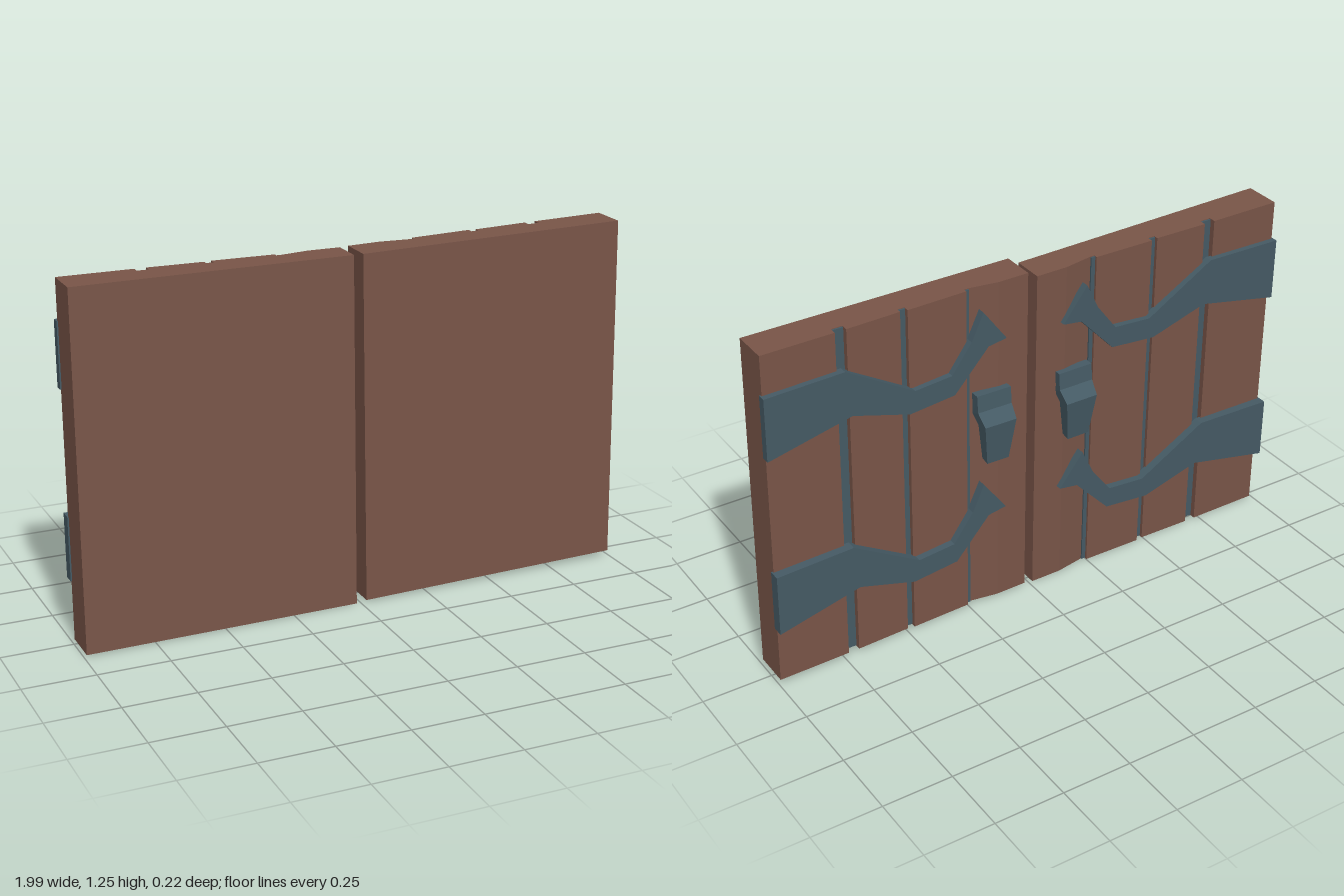
import * as THREE from 'three';

const H = 1.23;
const wood = new THREE.MeshStandardMaterial({ color: 0x795548, flatShading: true });
const iron = new THREE.MeshStandardMaterial({ color: 0x455a64, flatShading: true });

// Back of a door: [distance from the middle, recess], with three plank grooves
const BACK = [
  [0.015, 0], [0.13, 0], [0.235, 0.018], [0.25, 0.018], [0.25, 0.004],
  [0.47, 0], [0.47, 0.022], [0.495, 0.022], [0.495, 0.004],
  [0.69, 0], [0.69, 0.026], [0.73, 0.026], [0.73, 0], [0.99, 0],
];
const GROOVES = [[0.235, 0.25, 0.018], [0.47, 0.495, 0.022], [0.69, 0.73, 0.026]];

// Outline of a hinge strap with its flared inner end
const STRAP = [
  [0.995, 1.09], [0.71, 1.095], [0.46, 0.945], [0.32, 0.955], [0.245, 1.055], [0.2, 1.15],
  [0.11, 1.03], [0.18, 1.02], [0.31, 0.88], [0.48, 0.865], [0.69, 0.93], [0.995, 0.865],
];

// Side profile of a handle: [distance from the door, y]
const HANDLE = [
  [-0.01, 0.845], [0.022, 0.845], [0.028, 0.785], [0.066, 0.745], [0.048, 0.592],
  [0.018, 0.6], [0.02, 0.735], [-0.01, 0.765],
];

const outline = (pts) => new THREE.Shape(pts.map(([x, y]) => new THREE.Vector2(x, y)));
const extrude = (pts, depth) =>
  new THREE.ExtrudeGeometry(outline(pts), { depth, bevelEnabled: false });

// Move every vertex by a rule
function bend(geometry, rule) {
  const p = geometry.attributes.position;
  const v = new THREE.Vector3();
  for (let i = 0; i < p.count; i++) {
    rule(v.fromBufferAttribute(p, i));
    p.setXYZ(i, v.x, v.y, v.z);
  }
  geometry.computeVertexNormals();
  return geometry;
}

// side is +1 for the left door, -1 for the right door
function makeDoor(side) {
  const door = new THREE.Group();
  door.name = side > 0 ? 'leftDoor' : 'rightDoor';
  const backZ = (u) => (side > 0 ? -0.03 - 0.03 * u : -0.053 + 0.004 * u);
  const frontZ = (u) => (side > 0 ? 0.09 - 0.02 * u : 0.06 + 0.025 * u);

  // Slight crookedness shared by all parts of a door
  const crook = (v) => {
    const t = v.y / H;
    if (side > 0) {
      v.y += 0.008 + 0.012 * v.x;
      v.x += 0.005 - 0.015 * t;
    } else {
      v.y -= 0.006 * v.x;
      v.z += 0.025 * (1 - t);
    }
  };
  const add = (name, geometry, material) => {
    const mesh = new THREE.Mesh(bend(geometry, crook), material);
    mesh.name = name;
    door.add(mesh);
  };

  // Planked slab
  const section = BACK.map(([u, r]) => [side * u, -(backZ(u) + r)]);
  section.push([side * 0.99, -frontZ(0.99)], [side * 0.015, -frontZ(0.015)]);
  add('doorSlab', extrude(section, H).rotateX(-Math.PI / 2), wood);

  // Dark strips in the grooves
  for (const [a, b, r] of GROOVES) {
    const mid = (a + b) / 2;
    const strip = new THREE.BoxGeometry(b - a, H - 0.004, 0.012).toNonIndexed();
    strip.translate(side * mid, H / 2, backZ(mid) + r);
    add('grooveStrip', strip, iron);
  }

  // Hinge straps
  for (const [name, drop, out] of [['upperHingeStrap', 0, 0.021], ['lowerHingeStrap', 0.655, 0.033]]) {
    const strap = extrude(STRAP.map(([u, y]) => [side * u, y - drop]), 1);
    bend(strap, (v) => {
      const u = Math.abs(v.x);
      const proud = THREE.MathUtils.lerp(0.02, out, u);
      v.z = backZ(u) - proud + v.z * (proud + 0.008);
    });
    add(name, strap, iron);
  }

  // Handle, narrowing towards its lower end
  const handle = extrude(HANDLE, 0.13).translate(0, 0, -0.065).rotateY(Math.PI / 2);
  bend(handle, (v) => {
    const taper = Math.min(1, 1 - 0.35 * (0.785 - v.y) / 0.19);
    v.x = v.x * taper + side * 0.16;
    v.z += backZ(0.16);
  });
  add('handle', handle, iron);
  return door;
}

export function createModel() {
  const model = new THREE.Group();
  model.name = 'doubleDoor';
  model.add(makeDoor(1), makeDoor(-1));
  return model;
}
